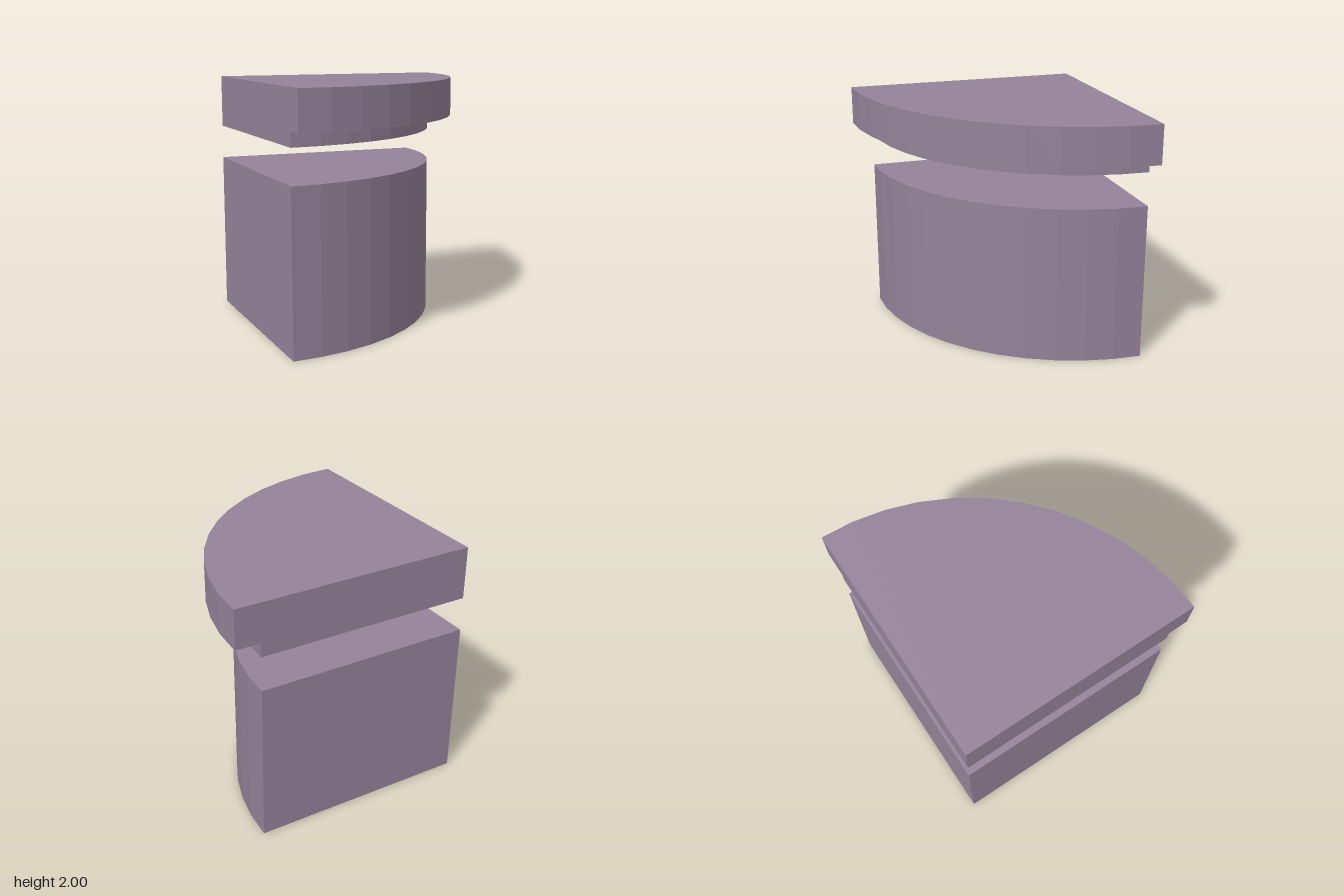
import * as THREE from 'three';

const SEGMENTS = 12;

// Quarter-round slab with its square corner at (x, z), spanning y0 to y1
function quarterSlab(name, material, { x, z, rx, rz, y0, y1 }) {
  const points = [new THREE.Vector2(0, 0)];
  for (let i = 0; i <= SEGMENTS; i++) {
    const a = (i / SEGMENTS) * Math.PI / 2;
    points.push(new THREE.Vector2(rx * Math.cos(a), rz * Math.sin(a)));
  }
  const geometry = new THREE.ExtrudeGeometry(new THREE.Shape(points), {
    depth: y1 - y0,
    bevelEnabled: false,
  });
  geometry.rotateX(Math.PI / 2); // lay flat: the outline's y becomes z
  const mesh = new THREE.Mesh(geometry, material);
  mesh.name = name;
  mesh.position.set(x, y1, z);
  return mesh;
}

export function createModel() {
  const group = new THREE.Group();
  group.name = 'quarterRoundContainer';
  const material = new THREE.MeshStandardMaterial({ color: 0x95829a, flatShading: true });

  // Solid body standing on the ground
  group.add(quarterSlab('body', material,
    { x: -0.987, z: -0.987, rx: 1.773, rz: 1.805, y0: 0, y1: 1.297 }));

  // Floating lid: wide cap with a narrower plug beneath it
  const lid = new THREE.Group();
  lid.name = 'lid';
  lid.add(
    quarterSlab('plug', material,
      { x: -0.987, z: -0.983, rx: 1.773, rz: 1.801, y0: 1.573, y1: 1.685 }),
    quarterSlab('cap', material,
      { x: -0.987, z: -0.983, rx: 1.974, rz: 1.97, y0: 1.685, y1: 2 }),
  );
  group.add(lid);
  return group;
}
